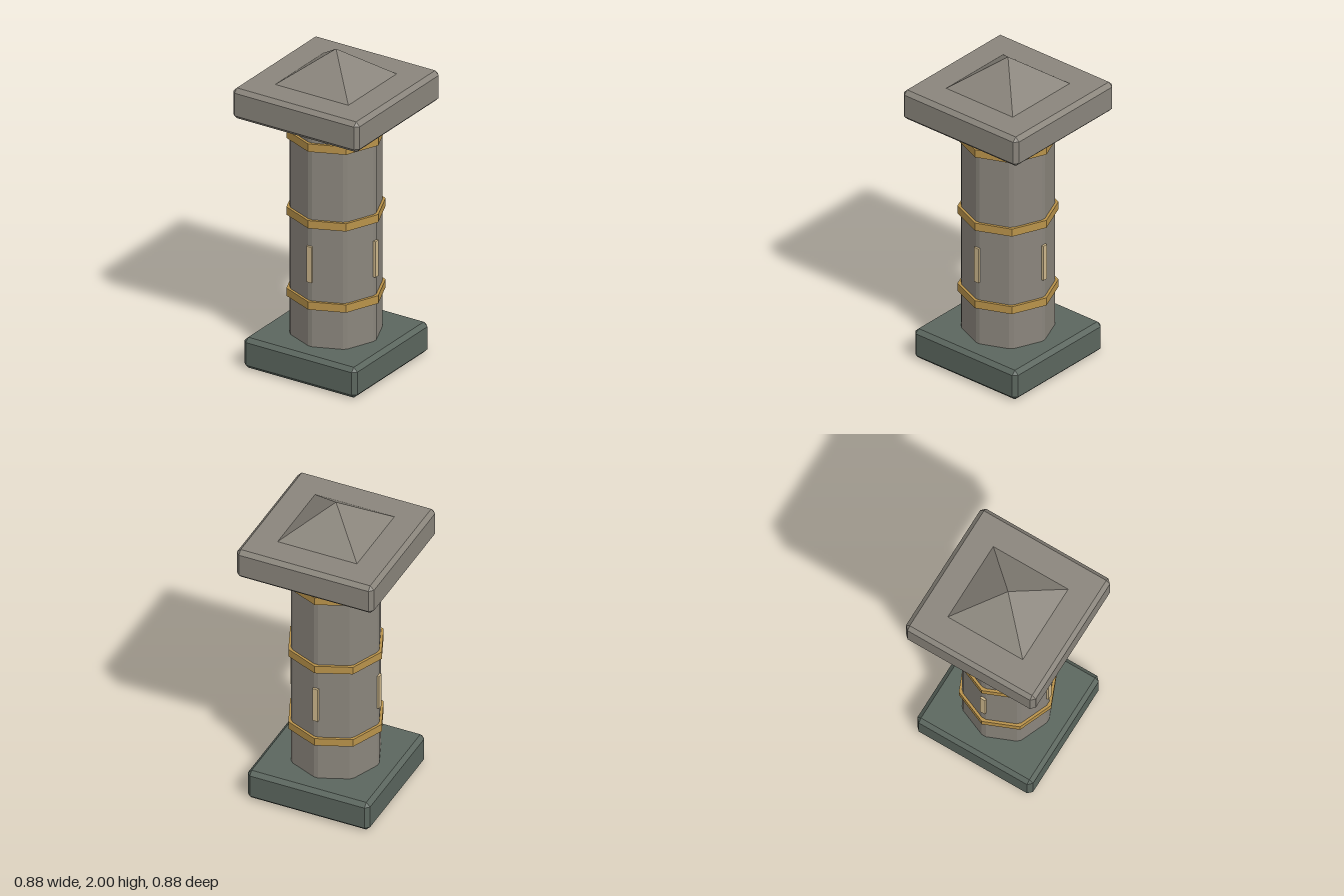
import * as THREE from 'three';
import { ConvexGeometry } from 'three/addons/geometries/ConvexGeometry.js';

const material = (name, color) => {
  const m = new THREE.MeshStandardMaterial({ color });
  m.name = name;
  return m;
};

// Box with a single flat chamfer on every edge
function chamferedBox(w, h, d, b) {
  const points = [];
  for (const sx of [-1, 1]) for (const sy of [-1, 1]) for (const sz of [-1, 1]) {
    for (let axis = 0; axis < 3; axis++) {
      const half = [w / 2 - b, h / 2 - b, d / 2 - b];
      half[axis] += b;
      points.push(new THREE.Vector3(sx * half[0], sy * half[1], sz * half[2]));
    }
  }
  return new ConvexGeometry(points);
}

// Octagonal column, corners on the axes, with chamfered edges and ends
function chamferedColumn(radius, bottom, top, b) {
  const points = [];
  const corner = (i, r) => new THREE.Vector3(r * Math.sin(i * Math.PI / 4), 0, r * Math.cos(i * Math.PI / 4));
  const side = 2 * radius * Math.sin(Math.PI / 8);
  for (let i = 0; i < 8; i++) {
    for (const t of [b / side, 1 - b / side]) {
      const p = corner(i, radius).lerp(corner(i + 1, radius), t);
      for (const y of [bottom + b, top - b]) points.push(p.clone().setY(y));
    }
    for (const y of [bottom, top]) points.push(corner(i, radius - b).setY(y));
  }
  return new ConvexGeometry(points);
}

export function createModel() {
  const group = new THREE.Group();
  group.name = 'stonePillar';
  const stone = material('stone', 0x8a857c);
  const darkStone = material('darkStone', 0x5b665e);
  const gold = material('gold', 0xb8924a);
  const paleInlay = material('paleInlay', 0xcdb78c);

  const add = (name, geometry, mat, x = 0, y = 0, z = 0) => {
    const mesh = new THREE.Mesh(geometry, mat);
    mesh.name = name;
    mesh.position.set(x, y, z);
    group.add(mesh);
    return mesh;
  };

  // Plinth, shaft and capstone
  add('plinth', chamferedBox(0.785, 0.195, 0.785, 0.025), darkStone, 0, 0.1, 0).position.y = 0.0975;
  add('shaft', chamferedColumn(0.277, 0.18, 1.62, 0.015), stone);
  add('capstone', chamferedBox(0.88, 0.195, 0.88, 0.025), stone, 0, 1.707, 0);

  // Pyramid on top
  const pyramid = new THREE.ConeGeometry(0.255 * Math.SQRT2, 0.196, 4, 1).toNonIndexed();
  pyramid.rotateY(Math.PI / 4);
  pyramid.computeVertexNormals();
  add('pyramid', pyramid, stone, 0, 1.902, 0);

  // Octagonal bands
  const band = new THREE.CylinderGeometry(0.294, 0.294, 0.05, 8).toNonIndexed();
  band.computeVertexNormals();
  for (const y of [0.465, 0.987, 1.48]) add('band', band, gold, 0, y, 0);

  // Upright inlays on the four axis corners
  const inlay = new THREE.BoxGeometry(0.034, 0.23, 0.03);
  for (let i = 0; i < 4; i++) {
    const a = i * Math.PI / 2;
    add('inlay', inlay, paleInlay, 0.27 * Math.sin(a), 0.725, 0.27 * Math.cos(a)).rotation.y = a;
  }
  return group;
}
